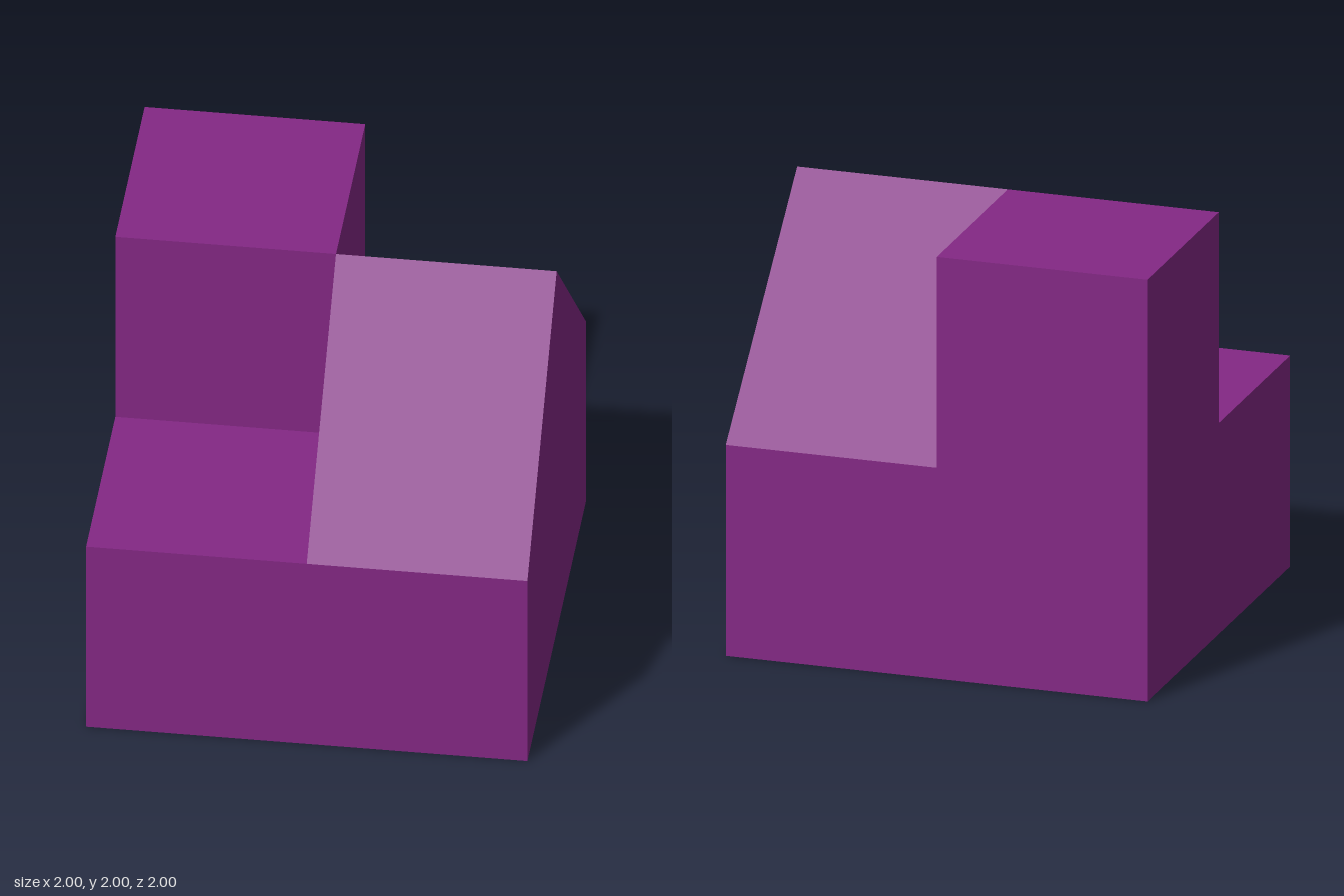
import * as THREE from 'three';

// Flat-faced shell from convex polygons, corners counter-clockwise from outside
function shell(name, faces, material) {
  const positions = [];
  for (const f of faces) {
    for (let i = 1; i < f.length - 1; i++) positions.push(...f[0], ...f[i], ...f[i + 1]);
  }
  const geometry = new THREE.BufferGeometry();
  geometry.setAttribute('position', new THREE.Float32BufferAttribute(positions, 3));
  geometry.computeVertexNormals();
  const mesh = new THREE.Mesh(geometry, material);
  mesh.name = name;
  return mesh;
}

export function createModel() {
  const purple = new THREE.MeshStandardMaterial({ color: 0x842885 });
  purple.name = 'purple';

  const group = new THREE.Group();
  group.name = 'slopedBlock';

  // Square base, with its top open under the tower and the roof
  group.add(shell('base', [
    [[-1, 0, -1], [1, 0, -1], [1, 0, 1], [-1, 0, 1]], // bottom
    [[-1, 0, 1], [1, 0, 1], [1, 1, 1], [-1, 1, 1]], // front
    [[1, 0, -1], [-1, 0, -1], [-1, 1, -1], [1, 1, -1]], // back
    [[1, 0, 1], [1, 0, -1], [1, 1, -1], [1, 1, 1]], // +x side
    [[-1, 0, -1], [-1, 0, 1], [-1, 1, 1], [-1, 1, -1]], // -x side
    [[-1, 1, 1], [0, 1, 1], [0, 1, 0], [-1, 1, 0]], // ledge
  ], purple));

  // Cubic tower on the rear corner
  group.add(shell('tower', [
    [[-1, 1, 0], [0, 1, 0], [0, 2, 0], [-1, 2, 0]], // front
    [[0, 1, -1], [-1, 1, -1], [-1, 2, -1], [0, 2, -1]], // back
    [[-1, 1, -1], [-1, 1, 0], [-1, 2, 0], [-1, 2, -1]], // -x side
    [[-1, 2, 0], [0, 2, 0], [0, 2, -1], [-1, 2, -1]], // top
    [[0, 2, 0], [0, 1, -1], [0, 2, -1]], // wall above the rear slope
  ], purple));

  // Gabled roof along the +x half
  group.add(shell('gableRoof', [
    [[0, 1, 1], [1, 1, 1], [1, 2, 0], [0, 2, 0]], // front slope
    [[1, 1, -1], [0, 1, -1], [0, 2, 0], [1, 2, 0]], // rear slope
    [[1, 1, 1], [1, 1, -1], [1, 2, 0]], // outer gable
    [[0, 1, 0], [0, 1, 1], [0, 2, 0]], // inner gable beside the ledge
  ], purple));

  return group;
}
